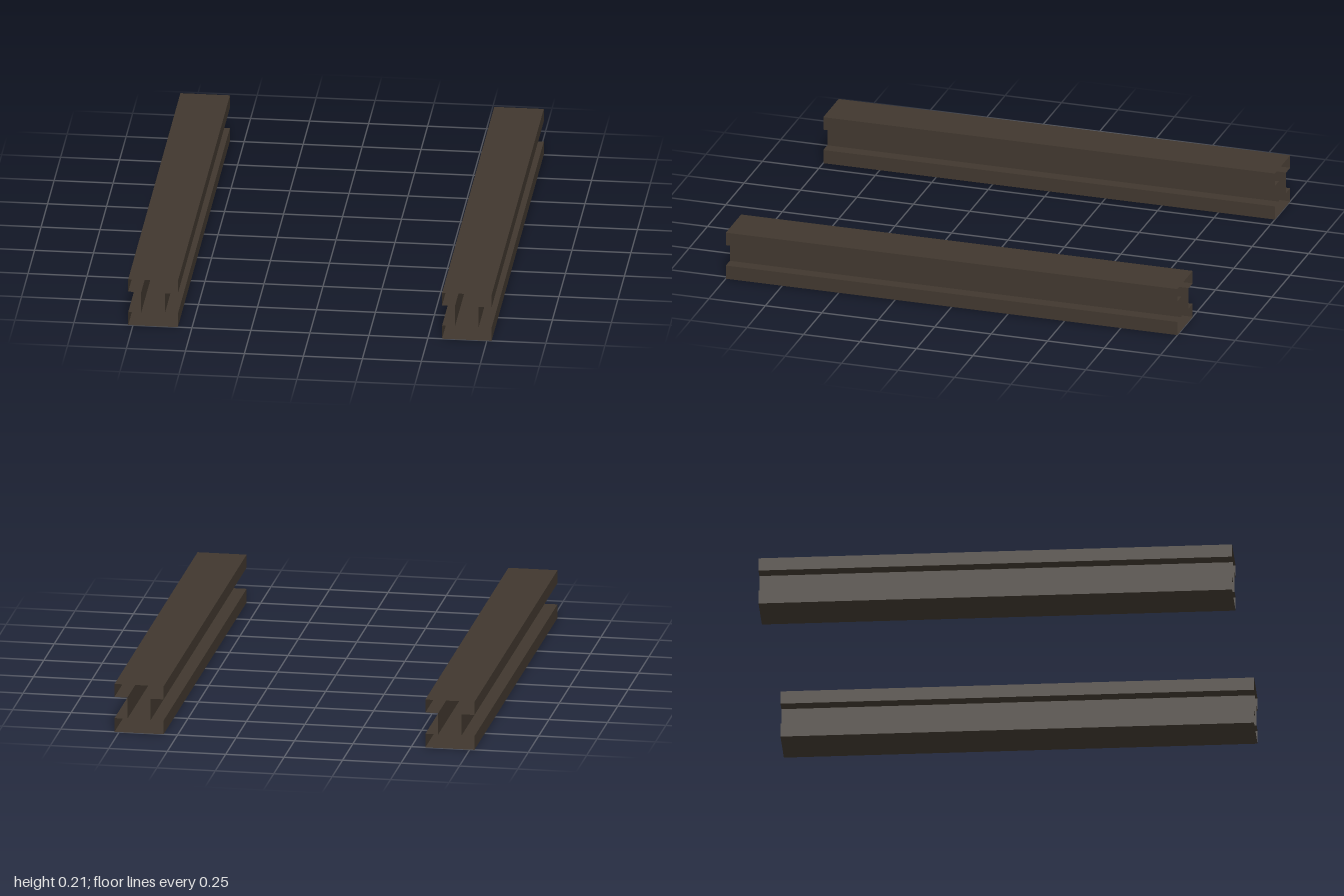
import * as THREE from 'three';

const LENGTH = 2;
const HALF = 0.105;    // half the rail width
const WAIST = 0.05;    // half the width between the grooves
const HEIGHT = 0.21;
const GROOVE = [0.06, 0.153]; // bottom and top of each side groove

// Hollow, open-ended rail: the outline swept along z, one flat strip per edge
function railGeometry() {
  const [low, high] = GROOVE;
  const right = [
    [HALF, 0], [HALF, low], [WAIST, low],
    [WAIST, high], [HALF, high], [HALF, HEIGHT],
  ];
  const left = right.map(([x, y]) => [-x, y]).reverse();
  const outline = [...right, ...left];
  const positions = [];
  outline.forEach(([ax, ay], i) => {
    const [bx, by] = outline[(i + 1) % outline.length];
    const z = LENGTH / 2;
    positions.push(
      ax, ay, -z, bx, by, -z, bx, by, z,
      ax, ay, -z, bx, by, z, ax, ay, z,
    );
  });
  const geometry = new THREE.BufferGeometry();
  geometry.setAttribute('position', new THREE.Float32BufferAttribute(positions, 3));
  geometry.computeVertexNormals();
  return geometry;
}

export function createModel() {
  const model = new THREE.Group();
  model.name = 'railPair';

  const darkBrown = new THREE.MeshStandardMaterial({ color: 0x40372e, side: THREE.DoubleSide });
  darkBrown.name = 'dark brown';

  // Two parallel rails, mirrored about the centre
  const geometry = railGeometry();
  for (const [name, side] of [['leftRail', 1], ['rightRail', -1]]) {
    const rail = new THREE.Mesh(geometry, darkBrown);
    rail.name = name;
    rail.position.x = side * 0.665;
    model.add(rail);
  }
  return model;
}
